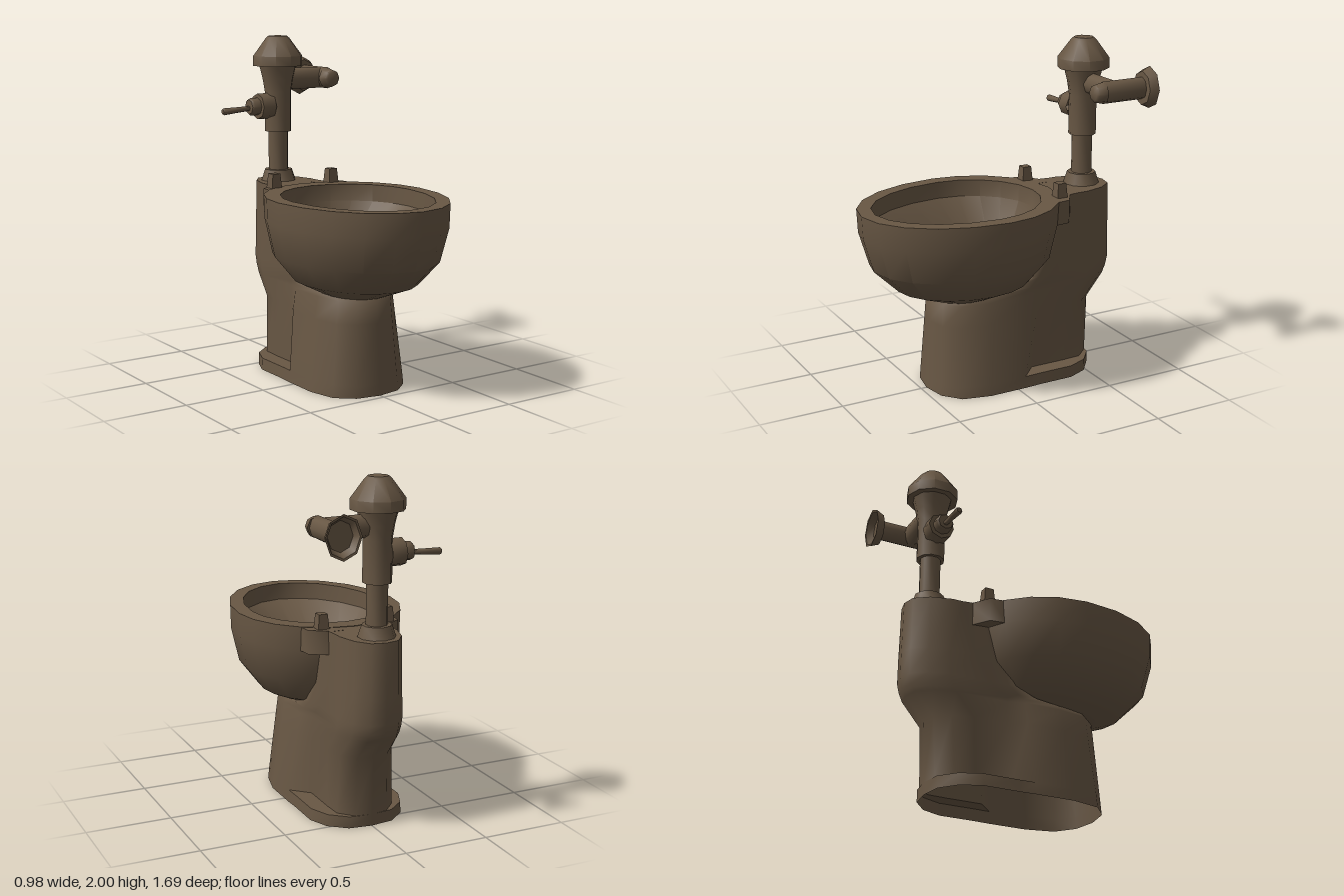
import * as THREE from 'three';
import { toCreasedNormals } from 'three/addons/utils/BufferGeometryUtils.js';

const bronze = new THREE.MeshStandardMaterial({ color: 0x685744, side: THREE.DoubleSide });
bronze.name = 'bronze brown';

function add(parent, name, geometry, crease = 0.85) {
  const mesh = new THREE.Mesh(toCreasedNormals(geometry, crease), bronze);
  mesh.name = name;
  parent.add(mesh);
  return mesh;
}

// Skin over closed rings of [x, y, z]; each end may be closed by a fan
function loft(rings, capStart, capEnd) {
  const out = [];
  const n = rings[0].length;
  for (let r = 0; r < rings.length - 1; r++) {
    for (let i = 0; i < n; i++) {
      const j = (i + 1) % n;
      const [a, b, c, d] = [rings[r][i], rings[r][j], rings[r + 1][j], rings[r + 1][i]];
      out.push(...a, ...b, ...c, ...a, ...c, ...d);
    }
  }
  const cap = (ring, flip) => {
    const mid = [0, 1, 2].map((k) => ring.reduce((s, p) => s + p[k], 0) / n);
    for (let i = 0; i < n; i++) {
      const a = ring[i], b = ring[(i + 1) % n];
      out.push(...(flip ? b : a), ...(flip ? a : b), ...mid);
    }
  };
  if (capStart) cap(rings[0], true);
  if (capEnd) cap(rings[rings.length - 1], false);
  const g = new THREE.BufferGeometry();
  g.setAttribute('position', new THREE.Float32BufferAttribute(out, 3));
  return g;
}

// Egg-shaped ring: separate front and back radii, optional rise to the back
function eggRing([y, hx, zFront, zBack, zMid, rise = 0], sides = 20) {
  return Array.from({ length: sides }, (_, i) => {
    const a = (i / sides) * Math.PI * 2;
    const c = Math.cos(a);
    const z = zMid + c * (c > 0 ? zFront - zMid : zMid - zBack);
    return [hx * Math.sin(a), y + rise * (1 - c) / 2, z];
  });
}

// Pedestal ring: front half-width w, waist wb behind zs, rear half-width wr
function bodyRing([y, w, zf, zs, wb, zb, wr]) {
  const k = zf - zs;
  const half = [
    [0.5 * w, zf - 0.05 * k], [0.86 * w, zf - 0.22 * k], [w, zf - 0.55 * k], [w, zs],
    [wb, zs - 0.1], [wb, zb + 0.22], [0.87 * wr, zb + 0.1], [0.5 * wr, zb + 0.018],
  ];
  const left = half.map(([x, z]) => [x, y, z]);
  const right = half.map(([x, z]) => [-x, y, z]).reverse();
  return [[0, y, zf], ...left, [0, y, zb], ...right];
}

// Turned part from [radius, height] points
function turned(points, sides = 8) {
  return new THREE.LatheGeometry(points.map(([r, y]) => new THREE.Vector2(r, y)), sides);
}

export function createModel() {
  const model = new THREE.Group();
  model.name = 'toilet';

  // Bowl: outside, rim, inner wall, funnel and drain in one skin
  add(model, 'bowl', loft([
    [0.56, 0.215, 0.43, -0.08, 0.2, 0.03],
    [0.635, 0.335, 0.63, -0.19, 0.19],
    [0.78, 0.447, 0.78, -0.305, 0.17],
    [0.98, 0.49, 0.84, -0.35, 0.17],
    [1.12, 0.492, 0.847, -0.36, 0.17],
    [1.12, 0.405, 0.765, -0.25, 0.18],
    [1.02, 0.402, 0.76, -0.247, 0.18],
    [0.68, 0.11, 0.145, -0.07, 0.04],
    [0.62, 0.07, 0.11, -0.03, 0.04],
  ].map((r) => eggRing(r)), true, true), 0.55);

  // Pedestal with foot flange, side notches and rear column
  add(model, 'pedestal', loft([
    [0, 0.29, 0.465, -0.05, 0.285, -0.585, 0.27],
    [0.07, 0.283, 0.46, -0.05, 0.28, -0.588, 0.265],
    [0.07, 0.283, 0.46, -0.05, 0.18, -0.588, 0.2],
    [0.42, 0.24, 0.438, -0.08, 0.185, -0.602, 0.185],
    [0.55, 0.222, 0.43, -0.08, 0.19, -0.715, 0.175],
    [0.575, 0.216, 0.4, -0.08, 0.19, -0.725, 0.175],
    [0.595, 0.212, 0.12, -0.12, 0.19, -0.735, 0.175],
    [0.65, 0.205, -0.08, -0.18, 0.188, -0.748, 0.175],
    [0.8, 0.195, -0.18, -0.28, 0.182, -0.748, 0.17],
    [1.117, 0.19, -0.28, -0.36, 0.176, -0.742, 0.165],
  ].map(bodyRing), false, true), 1.15);

  // Seat hinge brackets and posts
  for (const s of [1, -1]) {
    const outline = [[0.1, 0.24], [0.29, 0.24], [0.28, 0.335], [0.165, 0.41], [0.1, 0.41]];
    const shape = new THREE.Shape(outline.map(([x, z]) => new THREE.Vector2(s * x, z)));
    const g = new THREE.ExtrudeGeometry(shape, { depth: 0.138, bevelEnabled: false });
    add(model, 'hingeBracket', g.rotateX(-Math.PI / 2).translate(0, 0.98, 0), 1.1);
    const post = new THREE.CylinderGeometry(0.037, 0.048, 0.09, 4).rotateY(Math.PI / 4);
    add(model, 'hingePost', post, 0.3).position.set(s * 0.203 - 0.01, 1.158, -0.322);
  }

  // Flush valve
  const valve = new THREE.Group();
  valve.name = 'flushValve';
  valve.position.set(-0.013, 0, -0.596);
  model.add(valve);
  add(valve, 'valveFoot', turned([[0.108, 1.115], [0.085, 1.185], [0, 1.185]], 10));
  add(valve, 'downPipe', turned([[0.061, 1.18], [0.061, 1.43]], 10));
  add(valve, 'valveBody', turned(
    [[0, 1.42], [0.082, 1.42], [0.082, 1.66], [0.095, 1.74], [0.115, 1.82]], 10));
  add(valve, 'valveCap', turned(
    [[0, 1.82], [0.153, 1.82], [0.153, 1.88], [0.075, 1.985], [0.058, 2], [0, 2]], 10), 0.7);

  // Flush handle pointing to -x
  const handle = new THREE.Group();
  handle.name = 'flushHandle';
  handle.position.set(-0.07, 1.577, -0.595);
  handle.rotation.z = Math.PI / 2;
  model.add(handle);
  add(handle, 'handleSocket', turned(
    [[0.078, 0], [0.078, 0.09], [0.053, 0.09], [0.053, 0.14], [0.045, 0.15], [0, 0.15]]));
  const lever = add(handle, 'lever', turned(
    [[0.014, 0.13], [0.017, 0.23], [0.021, 0.325], [0.015, 0.334], [0, 0.334]]));
  lever.rotation.z = 0.06;

  // Supply pipe running to +x, then back to the wall
  const side = add(model, 'supplyPipe', turned([[0.05, 0], [0.05, 0.31], [0, 0.31]]));
  side.scale.x = 1.3;
  side.rotation.z = -Math.PI / 2;
  side.position.set(0, 1.735, -0.6);
  const stop = new THREE.Group();
  stop.name = 'stopValve';
  stop.position.set(0.307, 1.735, 0);
  stop.rotation.x = -Math.PI / 2;
  model.add(stop);
  add(stop, 'wallPipe', turned([[0.05, 0.525], [0.05, 0.8]])).scale.z = 1.3;
  add(stop, 'stopCap', turned(
    [[0, 0.463], [0.04, 0.463], [0.052, 0.475], [0.063, 0.53], [0, 0.53]]));
  add(stop, 'wallFlange', turned(
    [[0.05, 0.795], [0.1, 0.795], [0.106, 0.81], [0.124, 0.847], [0.11, 0.845], [0.085, 0.805], [0, 0.805]])).scale.x = 0.86;

  return model;
}
